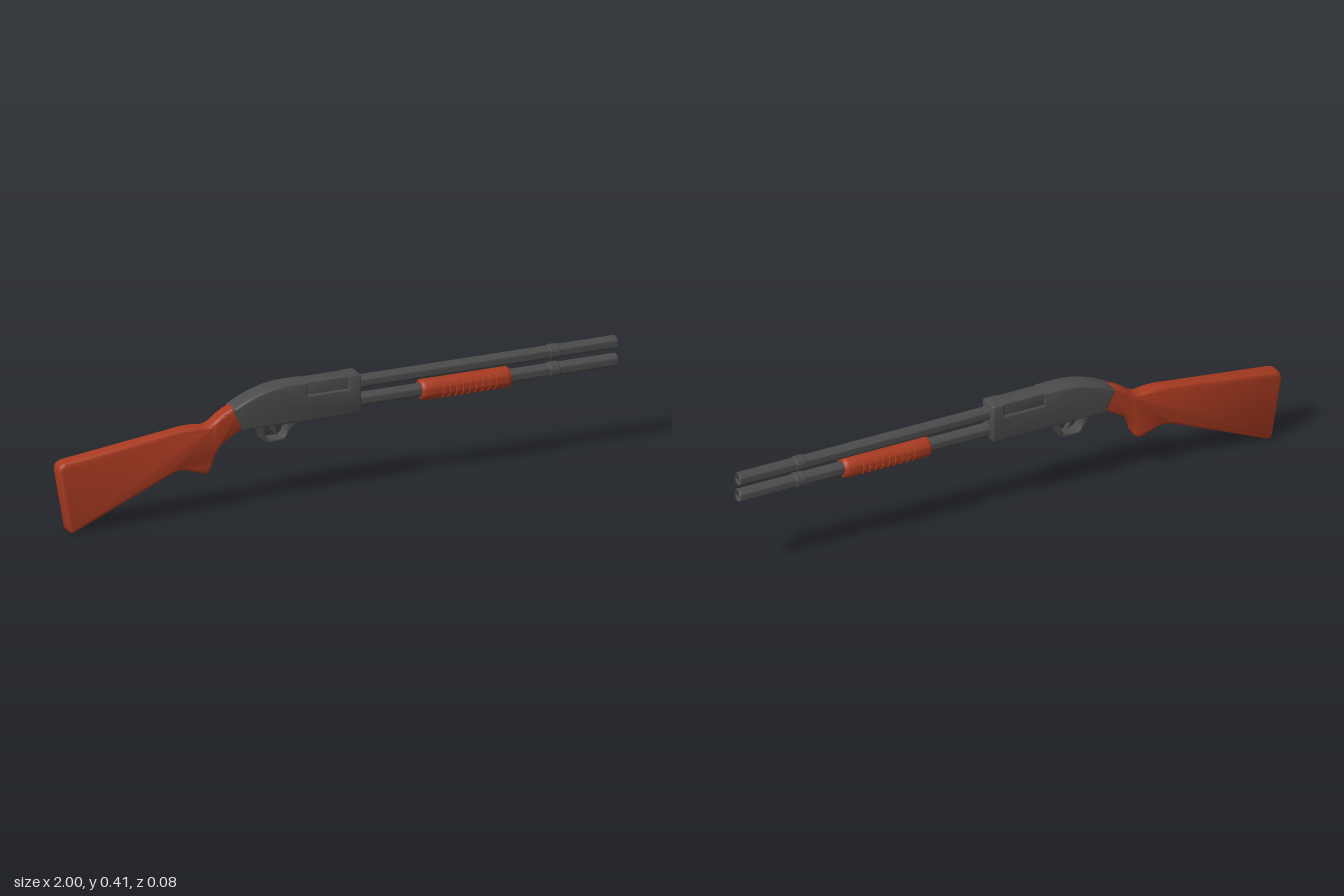
import * as THREE from 'three';
import { toCreasedNormals } from 'three/addons/utils/BufferGeometryUtils.js';

const BARREL_Y = 0.374, TUBE_Y = 0.312;

export function createModel() {
  const model = new THREE.Group();
  const metal = new THREE.MeshStandardMaterial({ color: 0x4b4b4b });
  metal.name = 'dark metal';
  const wood = new THREE.MeshStandardMaterial({ color: 0xa83a20 });
  wood.name = 'red wood';

  function add(name, geometry, material, y = 0) {
    const mesh = new THREE.Mesh(geometry, material);
    mesh.name = name;
    mesh.position.y = y;
    model.add(mesh);
  }

  // Side profile extruded across z, with rounded edges kept inside the outline
  function slab(shape, halfWidth, bevel) {
    const geometry = new THREE.ExtrudeGeometry(shape, {
      depth: 2 * (halfWidth - bevel), curveSegments: 8, bevelEnabled: bevel > 0,
      bevelThickness: bevel, bevelSize: bevel, bevelOffset: -bevel, bevelSegments: 4,
    });
    geometry.translate(0, 0, bevel - halfWidth);
    return toCreasedNormals(geometry, 0.6);
  }

  // Profile of [x, radius] points turned about the x axis
  function turned(points) {
    const geometry = new THREE.LatheGeometry(points.map(([x, r]) => new THREE.Vector2(r, x)), 32);
    geometry.rotateZ(-Math.PI / 2);
    return toCreasedNormals(geometry, 0.6);
  }

  // Stock
  const stock = new THREE.Shape();
  stock.moveTo(-0.944, 0.007);
  stock.lineTo(-0.595, 0.16);
  stock.quadraticCurveTo(-0.565, 0.171, -0.535, 0.161);
  stock.lineTo(-0.485, 0.143);
  stock.quadraticCurveTo(-0.462, 0.138, -0.455, 0.16);
  stock.quadraticCurveTo(-0.445, 0.21, -0.41, 0.24);
  stock.lineTo(-0.345, 0.28);
  stock.lineTo(-0.35, 0.36);
  stock.lineTo(-0.378, 0.357);
  stock.quadraticCurveTo(-0.41, 0.345, -0.44, 0.32);
  stock.quadraticCurveTo(-0.46, 0.302, -0.485, 0.304);
  stock.quadraticCurveTo(-0.53, 0.312, -0.58, 0.303);
  stock.lineTo(-0.972, 0.255);
  stock.quadraticCurveTo(-1.002, 0.249, -1, 0.222);
  stock.lineTo(-0.965, 0.022);
  stock.quadraticCurveTo(-0.961, 0.001, -0.944, 0.007);
  add('stock', slab(stock, 0.029, 0.012), wood);

  // Receiver, with a gap at the top for the ejection port
  const receiver = new THREE.Shape();
  receiver.moveTo(-0.345, 0.277);
  receiver.lineTo(0.066, 0.277);
  receiver.quadraticCurveTo(0.077, 0.277, 0.077, 0.288);
  receiver.lineTo(0.077, 0.402);
  receiver.quadraticCurveTo(0.077, 0.412, 0.067, 0.412);
  receiver.lineTo(0.03, 0.412);
  receiver.lineTo(0.03, 0.368);
  receiver.lineTo(-0.115, 0.368);
  receiver.lineTo(-0.115, 0.412);
  receiver.lineTo(-0.19, 0.413);
  receiver.quadraticCurveTo(-0.285, 0.41, -0.381, 0.354);
  receiver.lineTo(-0.345, 0.277);
  add('receiver', slab(receiver, 0.0375, 0.009), metal);

  // Bolt block filling the port, slightly recessed on both sides
  const bolt = new THREE.Shape();
  bolt.moveTo(-0.13, 0.35);
  bolt.lineTo(0.045, 0.35);
  bolt.lineTo(0.045, 0.411);
  bolt.lineTo(-0.13, 0.411);
  bolt.closePath();
  add('ejectionPort', slab(bolt, 0.0315, 0.005), metal);

  // Trigger guard with an open loop
  const guard = new THREE.Shape();
  guard.moveTo(-0.3, 0.285);
  guard.quadraticCurveTo(-0.285, 0.265, -0.277, 0.24);
  guard.quadraticCurveTo(-0.27, 0.216, -0.25, 0.214);
  guard.lineTo(-0.205, 0.214);
  guard.quadraticCurveTo(-0.178, 0.216, -0.172, 0.24);
  guard.quadraticCurveTo(-0.165, 0.264, -0.135, 0.274);
  guard.lineTo(-0.135, 0.285);
  guard.closePath();
  const loop = new THREE.Path();
  loop.moveTo(-0.265, 0.272);
  loop.lineTo(-0.182, 0.272);
  loop.quadraticCurveTo(-0.183, 0.229, -0.207, 0.227);
  loop.lineTo(-0.245, 0.227);
  loop.quadraticCurveTo(-0.262, 0.23, -0.265, 0.272);
  guard.holes.push(loop);
  add('triggerGuard', slab(guard, 0.022, 0.003), metal);

  // Trigger
  const trigger = new THREE.Shape();
  trigger.moveTo(-0.242, 0.28);
  trigger.quadraticCurveTo(-0.238, 0.25, -0.215, 0.234);
  trigger.lineTo(-0.211, 0.238);
  trigger.quadraticCurveTo(-0.222, 0.255, -0.222, 0.28);
  trigger.closePath();
  add('trigger', slab(trigger, 0.009, 0.002), metal);

  // Barrel and magazine tube: hollow muzzle and a raised band
  const pipe = [
    [0.05, 0.023], [0.757, 0.023], [0.76, 0.0265], [0.79, 0.0265], [0.793, 0.023],
    [0.998, 0.023], [1, 0.0215], [1, 0.0195], [0.97, 0.0195], [0.97, 0],
  ];
  add('barrel', turned(pipe), metal, BARREL_Y);
  add('magazineTube', turned(pipe), metal, TUBE_Y);

  // Sliding grip with evenly spaced grooves
  const grip = [[0.298, 0.02], [0.298, 0.03], [0.304, 0.035], [0.312, 0.0365]];
  for (let i = 0; i < 9; i++) {
    const x = 0.362 + i * 0.0235;
    grip.push([x, 0.0365], [x + 0.002, 0.032], [x + 0.008, 0.032], [x + 0.01, 0.0365]);
  }
  grip.push([0.602, 0.0365], [0.61, 0.035], [0.616, 0.03], [0.616, 0.02]);
  add('slideGrip', turned(grip), wood, TUBE_Y);

  return model;
}
